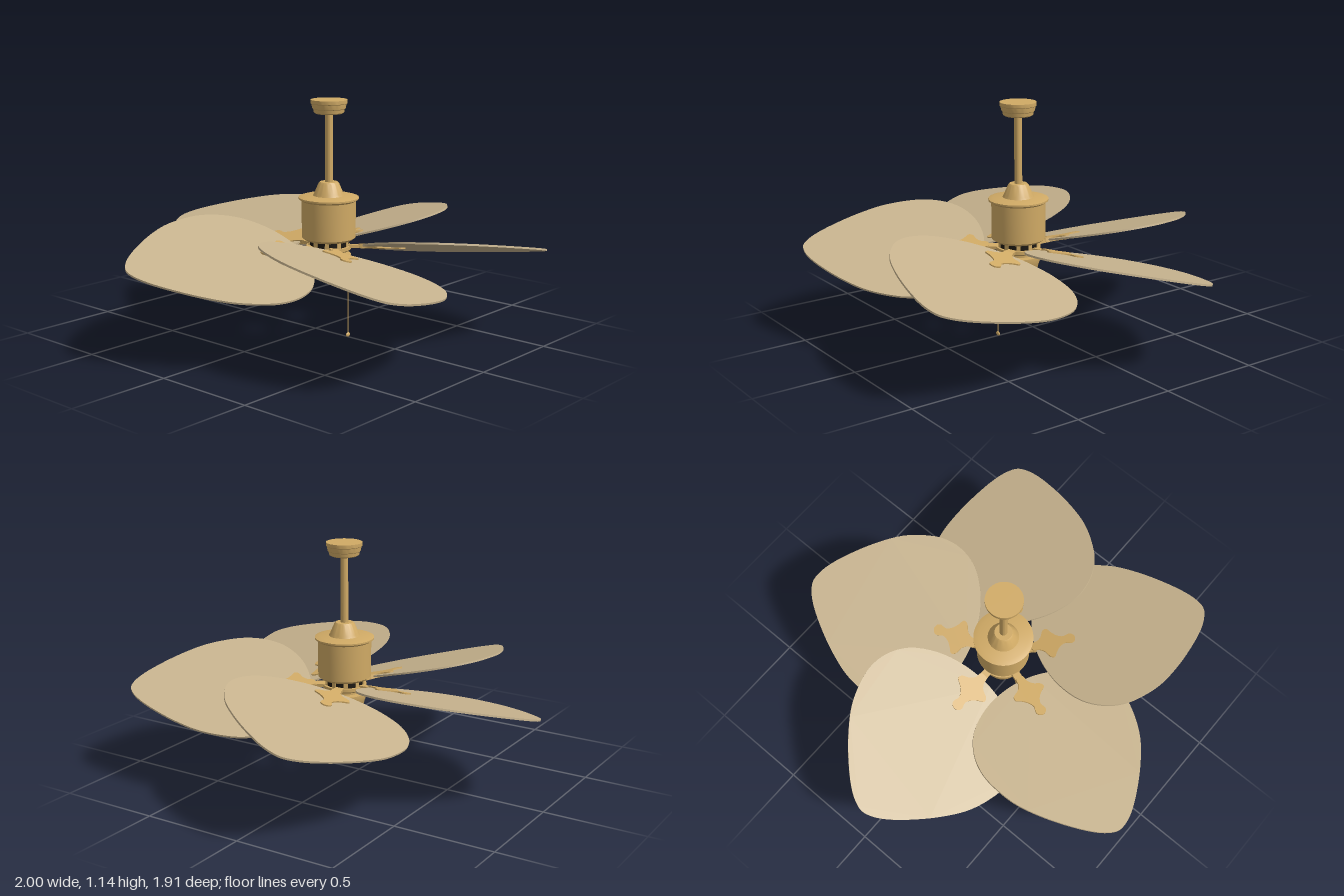
import * as THREE from 'three';
import { toCreasedNormals } from 'three/addons/utils/BufferGeometryUtils.js';

const HUB_Z = 0.085;
const PITCH = 0.272;

export function createModel() {
  const model = new THREE.Group();
  model.name = 'ceilingFan';
  const material = (name, color) => {
    const m = new THREE.MeshStandardMaterial({ color });
    m.name = name;
    return m;
  };
  const brass = material('brass', 0xd0aa65);
  const tan = material('tan blade', 0xc7b38e);
  const dark = material('dark vent', 0x1c1812);

  const fan = new THREE.Group();
  fan.name = 'fanAssembly';
  fan.position.z = HUB_Z;
  model.add(fan);

  const add = (parent, name, geometry, mat) => {
    const mesh = new THREE.Mesh(geometry, mat);
    mesh.name = name;
    parent.add(mesh);
    return mesh;
  };
  // Turned part from [radius, y] pairs, listed bottom to top
  const turned = (name, profile, mat = brass) => add(fan, name, toCreasedNormals(
    new THREE.LatheGeometry(profile.map(([r, y]) => new THREE.Vector2(r, y)), 48), 0.5), mat);

  // Ceiling mount and down rod
  turned('canopy', [[0, 1.078], [0.062, 1.078], [0.072, 1.084], [0.075, 1.1], [0.079, 1.103],
    [0.084, 1.125], [0.088, 1.128], [0.088, 1.145], [0, 1.145]]);
  turned('downRod', [[0.019, 0.74], [0.019, 1.08]]);

  // Motor housing
  turned('motorCollar', [[0.078, 0.68], [0.07, 0.695], [0.05, 0.742], [0.043, 0.75], [0, 0.75]]);
  turned('motorFlange', [[0.13, 0.658], [0.145, 0.668], [0.145, 0.676], [0.12, 0.683], [0, 0.686]]);
  turned('motorHousing', [[0, 0.468], [0.115, 0.468], [0.13, 0.48], [0.131, 0.66]]);
  turned('ventRing', [[0, 0.435], [0.095, 0.435], [0.095, 0.47]], dark);
  turned('flywheel', [[0, 0.415], [0.1, 0.415], [0.108, 0.422], [0.108, 0.438], [0, 0.44]]);
  turned('lowerNeck', [[0.075, 0.39], [0.075, 0.418]]);
  turned('switchHousing', [[0, 0.277], [0.02, 0.277], [0.024, 0.283], [0.06, 0.283], [0.07, 0.29],
    [0.076, 0.305], [0.088, 0.31], [0.1, 0.355], [0.108, 0.375], [0.108, 0.395], [0, 0.4]]);

  // Ribs across the vent
  for (let i = 0; i < 10; i++) {
    const a = (i + 0.5) * Math.PI / 5;
    const rib = add(fan, 'ventRib', new THREE.BoxGeometry(0.02, 0.036, 0.012), brass);
    rib.position.set(Math.sin(a) * 0.092, 0.453, Math.cos(a) * 0.092);
    rib.rotation.y = a;
  }

  // Symmetric flat plate from [distance, halfWidth] pairs, pointing to -z
  const plate = (half, thickness, smooth) => {
    const right = half.map(([r, w]) => new THREE.Vector2(w, r));
    const left = half.slice(1, -1).reverse().map(([r, w]) => new THREE.Vector2(-w, r));
    const outline = [...right, ...left];
    const shape = new THREE.Shape();
    if (smooth) {
      const curve = new THREE.CatmullRomCurve3(
        outline.map(p => new THREE.Vector3(p.x, p.y, 0)), true, 'centripetal');
      shape.setFromPoints(curve.getPoints(96).slice(0, -1).map(p => new THREE.Vector2(p.x, p.y)));
    } else shape.setFromPoints(outline);
    const g = new THREE.ExtrudeGeometry(shape, { depth: thickness, bevelEnabled: false });
    g.translate(0, 0, -thickness / 2);
    g.rotateX(-Math.PI / 2);
    return toCreasedNormals(g, 0.6);
  };
  const bladeGeometry = plate([[0.166, 0], [0.178, 0.12], [0.22, 0.25], [0.3, 0.366], [0.4, 0.426],
    [0.5, 0.441], [0.6, 0.421], [0.7, 0.38], [0.8, 0.31], [0.9, 0.22], [0.99, 0.12],
    [1.03, 0.055], [1.045, 0]], 0.009, true);
  const bracketGeometry = plate([[0.145, 0], [0.15, 0.02], [0.18, 0.026], [0.205, 0.045],
    [0.225, 0.082], [0.245, 0.088], [0.262, 0.062], [0.285, 0.035], [0.315, 0.02],
    [0.345, 0.028], [0.362, 0.022], [0.372, 0]], 0.022, true);

  // Five pitched blades with their brackets
  for (let i = 0; i < 5; i++) {
    const arm = new THREE.Group();
    arm.name = 'bladeArm';
    arm.position.y = 0.437;
    arm.rotation.y = i * Math.PI * 2 / 5;
    fan.add(arm);
    add(arm, 'blade', bladeGeometry, tan).rotation.z = PITCH;
    add(arm, 'bracket', bracketGeometry, brass).rotation.z = PITCH;
    const root = add(arm, 'bracketRoot', new THREE.BoxGeometry(0.04, 0.016, 0.1), brass);
    root.position.set(0, -0.002, -0.125);
    root.rotation.z = PITCH * 0.5;
  }

  // Pull chain hanging in front
  const chainPath = new THREE.CatmullRomCurve3([[0.085, 0.335], [0.118, 0.333], [0.125, 0.322],
    [0.125, 0.2], [0.125, 0.02]].map(([z, y]) => new THREE.Vector3(0, y, z)), false, 'centripetal');
  add(fan, 'pullChain', new THREE.TubeGeometry(chainPath, 40, 0.0022, 6), brass);
  const outlet = add(fan, 'chainOutlet', new THREE.CylinderGeometry(0.008, 0.008, 0.03, 16), brass);
  outlet.rotation.x = Math.PI / 2;
  outlet.position.set(0, 0.335, 0.104);
  const pull = add(fan, 'chainPull', new THREE.SphereGeometry(1, 20, 12), brass);
  pull.scale.set(0.014, 0.011, 0.006);
  pull.position.set(0, 0.011, 0.125);
  return model;
}
